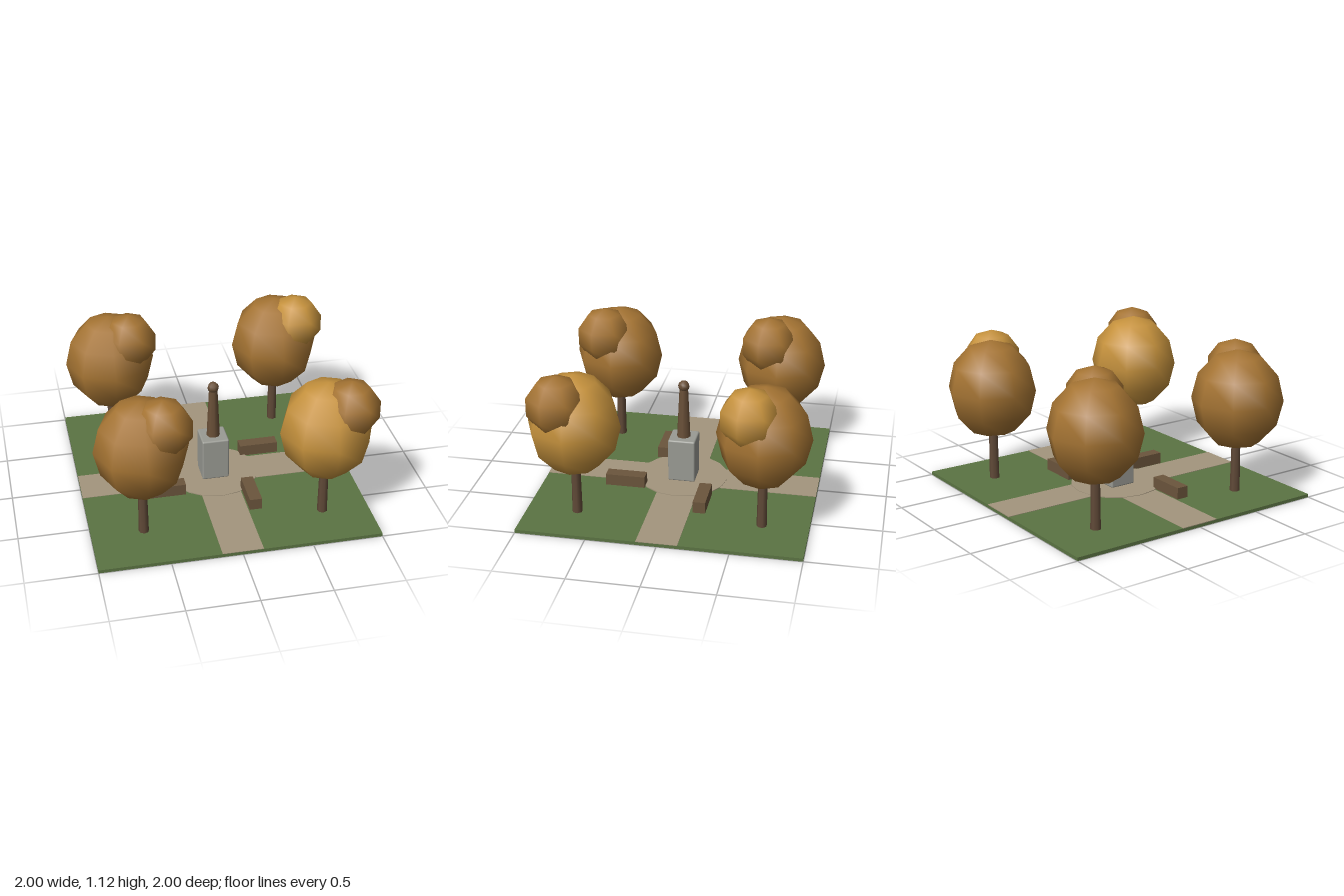
import * as THREE from 'three';
import { RoundedBoxGeometry } from 'three/addons/geometries/RoundedBoxGeometry.js';

const material = (name, color) => {
  const m = new THREE.MeshStandardMaterial({ color });
  m.name = name;
  return m;
};

export function createModel() {
  const grass = material('grass green', 0x5b7443);
  const gravel = material('gravel tan', 0xa3957d);
  const stone = material('pedestal grey', 0x9a9b94);
  const bronze = material('statue bronze', 0x6a5038);
  const wood = material('bench wood', 0x6b553c);
  const bark = material('bark brown', 0x614a38);
  const gold = material('golden leaves', 0xc6923d);
  const amber = material('amber leaves', 0xa57433);

  const park = new THREE.Group();
  park.name = 'park';
  const add = (parent, name, geometry, mat, x = 0, y = 0, z = 0) => {
    const mesh = new THREE.Mesh(geometry, mat);
    mesh.name = name;
    mesh.position.set(x, y, z);
    parent.add(mesh);
    return mesh;
  };

  // Lawn with crossing paths and a round plaza
  add(park, 'lawn', new THREE.BoxGeometry(2, 0.024, 2), grass, 0, 0.012, 0);
  add(park, 'pathAlongX', new THREE.BoxGeometry(2, 0.006, 0.29), gravel, 0, 0.024, 0);
  add(park, 'pathAlongZ', new THREE.BoxGeometry(0.29, 0.006, 2), gravel, 0, 0.0245, 0);
  add(park, 'plaza', new THREE.CylinderGeometry(0.33, 0.33, 0.01, 16), gravel, 0, 0.026, 0);

  // Monument: pedestal, tapered figure and round head
  const monument = new THREE.Group();
  monument.name = 'monument';
  park.add(monument);
  add(monument, 'pedestal', new RoundedBoxGeometry(0.2, 0.327, 0.2, 2, 0.012), stone, 0, 0.1915, 0);
  add(monument, 'statueBody', new THREE.CylinderGeometry(0.032, 0.05, 0.38, 8), bronze, 0, 0.54, 0);
  add(monument, 'statueHead', new THREE.SphereGeometry(0.042, 8, 6), bronze, 0, 0.755, 0);

  // Benches: x, z, width, depth
  for (const [x, z, w, d] of [
    [0.39, -0.21, 0.29, 0.09],
    [-0.4, 0.205, 0.29, 0.09],
    [0.2, 0.39, 0.09, 0.29],
  ]) {
    add(park, 'bench', new THREE.BoxGeometry(w, 0.085, d), wood, x, 0.0665, z);
  }

  // Trees: x, z, main crown colour, side crown colour
  for (const [x, z, mainLeaves, sideLeaves] of [
    [-0.663, -0.63, amber, amber],
    [0.62, -0.67, amber, gold],
    [-0.628, 0.62, amber, amber],
    [0.663, 0.64, gold, amber],
  ]) {
    const tree = new THREE.Group();
    tree.name = 'tree';
    tree.position.set(x, 0, z);
    park.add(tree);
    add(tree, 'trunk', new THREE.CylinderGeometry(0.032, 0.037, 0.42, 7), bark, 0, 0.234, 0);
    const crown = add(tree, 'crown', new THREE.SphereGeometry(0.33, 8, 6), mainLeaves, 0, 0.715, 0);
    crown.scale.y = 1.106;
    const side = add(tree, 'sideCrown', new THREE.SphereGeometry(0.21, 7, 5), sideLeaves, 0.138, 0.908, 0.085);
    side.rotation.y = 0.17;
  }

  return park;
}
